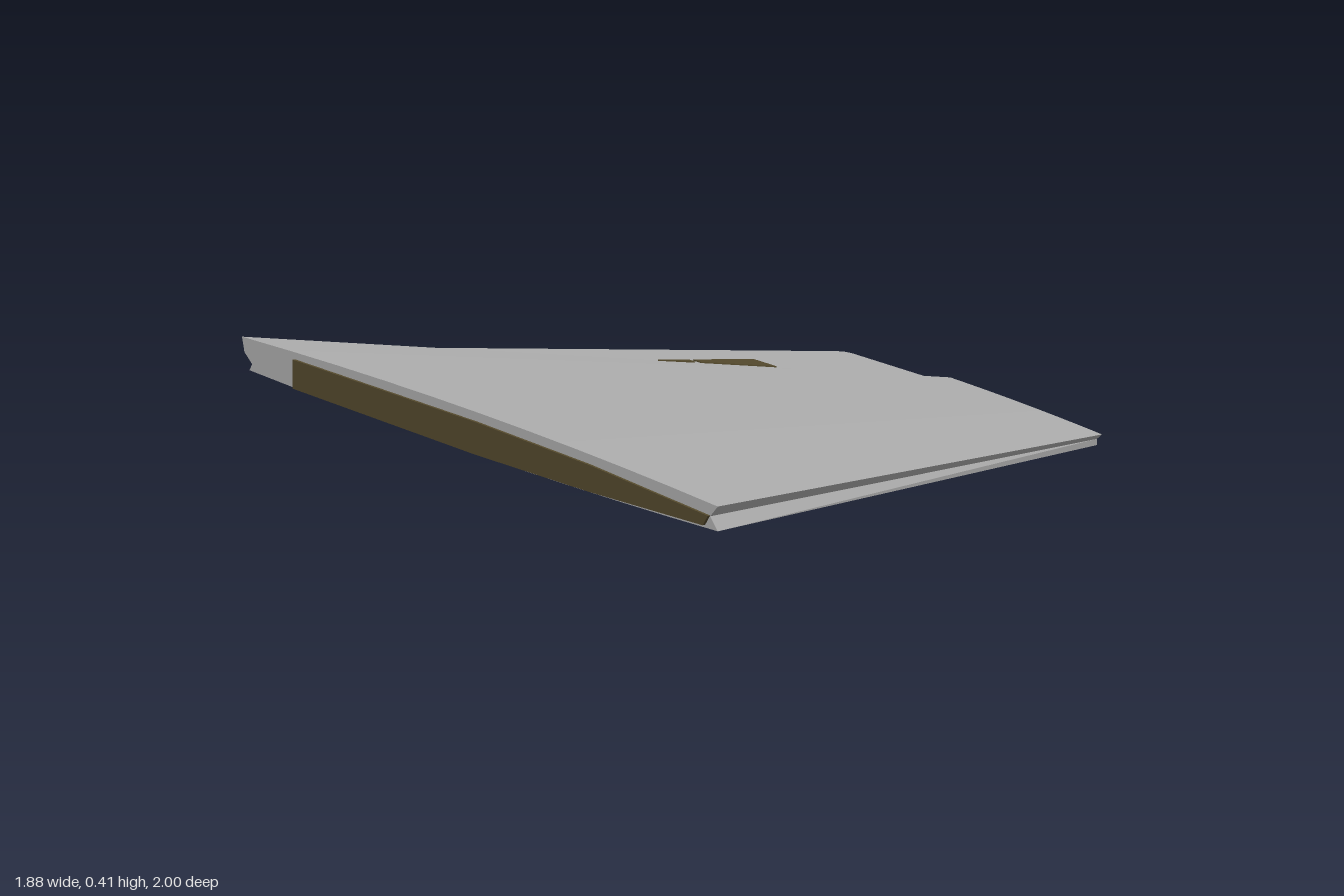
import * as THREE from 'three';
import { toCreasedNormals } from 'three/addons/utils/BufferGeometryUtils.js';

const X0 = -0.935, X1 = 0.94;
const lerp = THREE.MathUtils.lerp;

// Closed solid between two matching rings of Vector3; `flat` projects a ring to 2D for the caps.
function loft(ringA, ringB, flat) {
  if (THREE.ShapeUtils.isClockWise(ringA.map(flat))) {
    ringA = [...ringA].reverse();
    ringB = [...ringB].reverse();
  }
  const n = ringA.length, tris = [];
  for (let i = 0; i < n; i++) {
    const j = (i + 1) % n;
    tris.push([ringA[i], ringB[j], ringA[j]], [ringA[i], ringB[i], ringB[j]]);
  }
  for (const [a, b, c] of THREE.ShapeUtils.triangulateShape(ringA.map(flat), [])) {
    tris.push([ringA[a], ringA[b], ringA[c]]);
  }
  for (const [a, b, c] of THREE.ShapeUtils.triangulateShape(ringB.map(flat), [])) {
    tris.push([ringB[a], ringB[c], ringB[b]]);
  }
  // turn every face outward
  let volume = 0;
  for (const [a, b, c] of tris) volume += a.dot(b.clone().cross(c));
  if (volume < 0) tris.forEach(t => t.reverse());
  const geometry = new THREE.BufferGeometry().setFromPoints(tris.flat());
  return toCreasedNormals(geometry, 0.3);
}

// Wing section at one end: curved top, rear step, curved underside, notched leading edge
function section(x, s) {
  const pts = [], N = 10;
  const arc = (from, to, bulge) => {
    for (let i = 0; i <= N; i++) {
      const u = i / N;
      pts.push([lerp(from[0], to[0], u), lerp(from[1], to[1], u) + bulge * 4 * u * (1 - u)]);
    }
  };
  arc(s.topFront, s.topBack, s.topBulge);
  pts.push(s.stepFoot, s.lipTop);
  arc(s.bottomBack, s.bottomFront, -s.bottomBulge);
  pts.push(s.notch);
  return pts.map(([z, y]) => new THREE.Vector3(x, y, z));
}

const fromSide = p => new THREE.Vector2(p.z, p.y);
const fromTop = p => new THREE.Vector2(p.x, p.z);

// Height of the upper skin, continued behind the rear seam
const along = x => (x - X0) / (X1 - X0);
const seamZ = x => lerp(-0.88, -0.63, along(x));
const skinY = (x, z) => lerp(0.40, 0.06, along(x)) - 0.02 * (seamZ(x) - z);

// Plate following the skin, raised by `lift`, with its underside `depth` lower
function plate(outline, lift, depth) {
  const ring = d => outline.map(([x, z]) => new THREE.Vector3(x, skinY(x, z) + d, z));
  return loft(ring(lift), ring(lift - depth), fromTop);
}

export function createModel() {
  const group = new THREE.Group();
  const grey = new THREE.MeshStandardMaterial({ color: 0xb2b2b2 });
  grey.name = 'skin grey';
  const brown = new THREE.MeshStandardMaterial({ color: 0x564b2e });
  brown.name = 'dark olive brown';
  const add = (name, geometry, material) => {
    const mesh = new THREE.Mesh(geometry, material);
    mesh.name = name;
    group.add(mesh);
  };

  // Main wing, swept and tapering from root to tip
  const root = section(X0, {
    topFront: [1.0, 0.39], topBack: [-0.88, 0.40], topBulge: 0.02,
    stepFoot: [-0.87, 0.365], lipTop: [-0.84, 0.342],
    bottomBack: [-0.85, 0.325], bottomFront: [1.0, 0.33], bottomBulge: 0.015,
    notch: [0.97, 0.36],
  });
  const tip = section(X1, {
    topFront: [-0.03, 0.05], topBack: [-0.63, 0.06], topBulge: 0.003,
    stepFoot: [-0.63, 0.03], lipTop: [-0.99, 0.025],
    bottomBack: [-1.0, 0.01], bottomFront: [-0.05, 0.02], bottomBulge: 0.014,
    notch: [-0.05, 0.035],
  });
  add('wing', loft(root, tip, fromSide), grey);

  // Raised panel on the rear shelf, flush with the upper skin
  add('rearPanel', plate([
    [-0.42, seamZ(-0.42)], [0.845, -0.945], [0.862, -0.94], [0.87, -0.925], [0.87, seamZ(0.87)],
  ], 0, 0.03), grey);

  // Brown patches lying on the panel along the seam
  const patchBack = x => lerp(-0.73, -0.78, (x - 0.16) / 0.32);
  for (const [a, b] of [[0.165, 0.265], [0.28, 0.48]]) {
    add('panelPatch', plate([
      [a, patchBack(a)], [b, patchBack(b)], [b, seamZ(b)], [a, Math.max(seamZ(a), patchBack(a) + 0.002)],
    ], 0.003, 0.005), brown);
  }

  // Brown closing rib at the root end
  const rib = x => [
    [0.97, 0.362], [0.5, 0.385], [0.05, 0.393], [-0.67, 0.39],
    [-0.67, 0.32], [0.05, 0.314], [0.5, 0.32], [0.95, 0.335],
  ].map(([z, y]) => new THREE.Vector3(x, y, z));
  add('rootRib', loft(rib(X0 - 0.007), rib(X0 + 0.001), fromSide), brown);

  return group;
}
